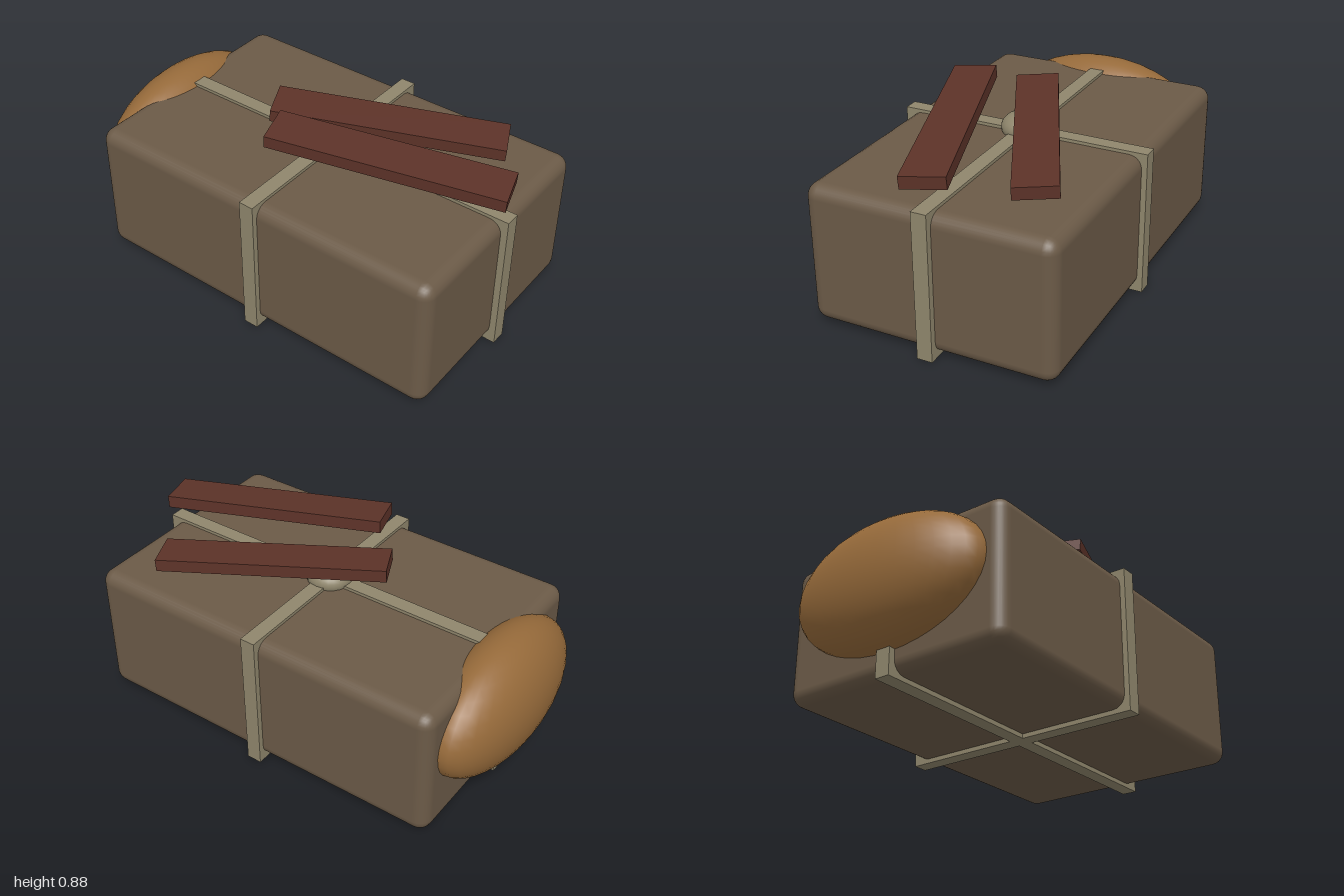
import * as THREE from 'three';
import { RoundedBoxGeometry } from 'three/addons/geometries/RoundedBoxGeometry.js';

export function createModel() {
  const model = new THREE.Group();
  const mat = (color) => new THREE.MeshStandardMaterial({ color });
  const cloth = mat(0x6b5a47), rope = mat(0x8f866c), leather = mat(0x966a3a), wood = mat(0x5c3228);

  const add = (name, geometry, material, x, y, z) => {
    const mesh = new THREE.Mesh(geometry, material);
    mesh.name = name;
    mesh.position.set(x, y, z);
    model.add(mesh);
    return mesh;
  };

  // Soft-edged bundle
  add('bundle', new RoundedBoxGeometry(1.76, 0.635, 1.13, 3, 0.06), cloth, 0.08, 0.338, 0);

  // Two straps crossing around the bundle
  add('crossStrap', new THREE.BoxGeometry(0.07, 0.67, 1.18), rope, 0.08, 0.335, 0);
  add('lengthStrap', new THREE.BoxGeometry(1.82, 0.67, 0.07), rope, 0.08, 0.335, 0);

  // Flattened knot where the straps meet
  add('knot', new THREE.SphereGeometry(1, 24, 16), rope, 0.08, 0.675, 0).scale.set(0.108, 0.07, 0.108);

  // Oval pouch bulging from one end
  add('pouch', new THREE.SphereGeometry(1, 32, 20), leather, -0.8, 0.412, 0).scale.set(0.2, 0.293, 0.49);

  // Loose planks resting on top: x, y, z, pitch, yaw, tilt
  [
    ['backPlank', 0.277, 0.757, -0.152, 0.02, 0.446, -0.075],
    ['frontPlank', 0.475, 0.82, 0.143, 0.04, 0.3, -0.075],
  ].forEach(([name, x, y, z, pitch, yaw, tilt]) => {
    add(name, new THREE.BoxGeometry(1.03, 0.056, 0.19), wood, x, y, z);
    const plank = model.getObjectByName(name);
    // Yaw first, then lean the whole plank
    plank.quaternion
      .setFromEuler(new THREE.Euler(pitch, 0, tilt))
      .multiply(new THREE.Quaternion().setFromAxisAngle(new THREE.Vector3(0, 1, 0), yaw));
  });

  return model;
}
